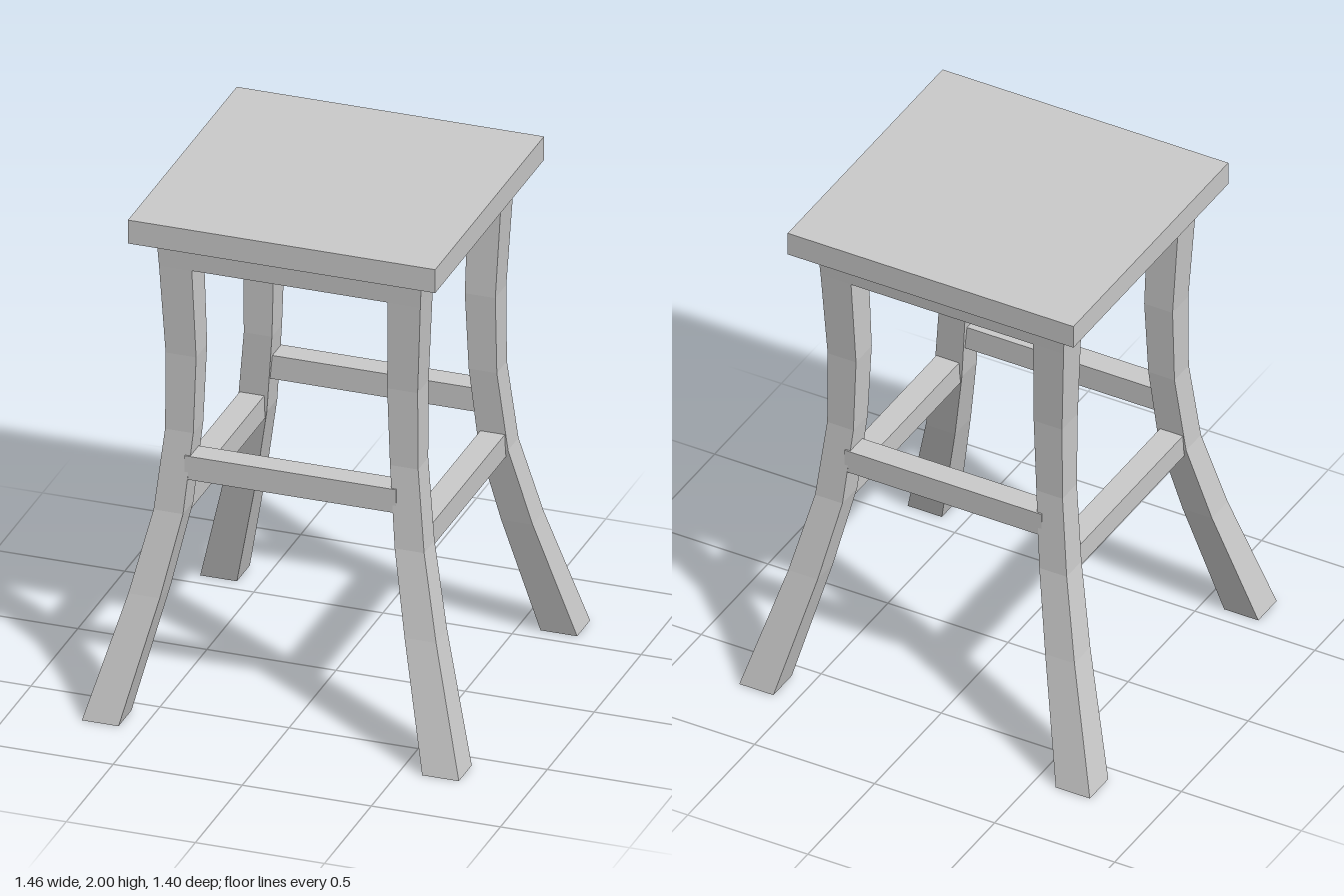
import * as THREE from 'three';

const material = new THREE.MeshStandardMaterial({ color: 0xcccccc, flatShading: true });

// Rectangular loft through horizontal sections [y, x0, x1, z0, z1], listed bottom to top
function loft(name, sections) {
  const pos = [], idx = [];
  for (const [y, x0, x1, z0, z1] of sections) {
    pos.push(x0, y, z1, x1, y, z1, x1, y, z0, x0, y, z0);
  }
  for (let s = 0; s < sections.length - 1; s++) {
    for (let k = 0; k < 4; k++) {
      const a = s * 4 + k, b = s * 4 + (k + 1) % 4;
      idx.push(a, b, b + 4, a, b + 4, a + 4);
    }
  }
  const t = (sections.length - 1) * 4;
  idx.push(0, 2, 1, 0, 3, 2, t, t + 1, t + 2, t, t + 2, t + 3);
  const indexed = new THREE.BufferGeometry();
  indexed.setAttribute('position', new THREE.Float32BufferAttribute(pos, 3));
  indexed.setIndex(idx);
  const geometry = indexed.toNonIndexed();
  geometry.computeVertexNormals();
  const mesh = new THREE.Mesh(geometry, material);
  mesh.name = name;
  return mesh;
}

function box(name, w, h, d, x, y, z) {
  const mesh = new THREE.Mesh(new THREE.BoxGeometry(w, h, d), material);
  mesh.position.set(x, y, z);
  mesh.name = name;
  return mesh;
}

// Leg curve: y, inner x, outer x, inner z, outer z
const LEG = [
  [0, 0.588, 0.73, 0.562, 0.70],
  [0.48, 0.474, 0.596, 0.456, 0.574],
  [0.80, 0.41, 0.524, 0.392, 0.503],
  [1.12, 0.381, 0.49, 0.366, 0.473],
  [1.43, 0.37, 0.488, 0.355, 0.473],
  [1.79, 0.379, 0.506, 0.363, 0.494],
  [1.905, 0.382, 0.513, 0.366, 0.502],
];

export function createModel() {
  const stool = new THREE.Group();
  stool.name = 'stool';

  // Seat slab and the solid block under it, flush with the legs
  stool.add(box('seat', 1.19, 0.095, 1.16, 0, 1.9525, 0));
  stool.add(loft('apron', LEG.slice(-2).map(([y, , x, , z]) => [y, -x, x, -z, z])));

  // Four splayed legs
  for (const sx of [-1, 1]) {
    for (const sz of [-1, 1]) {
      const name = (sz > 0 ? 'front' : 'back') + (sx > 0 ? 'Left' : 'Right') + 'Leg';
      stool.add(loft(name, LEG.map(([y, xi, xo, zi, zo]) => [
        y,
        sx > 0 ? xi : -xo, sx > 0 ? xo : -xi,
        sz > 0 ? zi : -zo, sz > 0 ? zo : -zi,
      ])));
    }
  }

  // Stretchers: higher at front and back, lower at the sides
  for (const s of [-1, 1]) {
    stool.add(box(s > 0 ? 'frontStretcher' : 'backStretcher', 0.82, 0.095, 0.095, 0, 0.983, s * 0.44));
    stool.add(box(s > 0 ? 'leftStretcher' : 'rightStretcher', 0.095, 0.095, 0.81, s * 0.466, 0.817, 0));
  }
  return stool;
}
